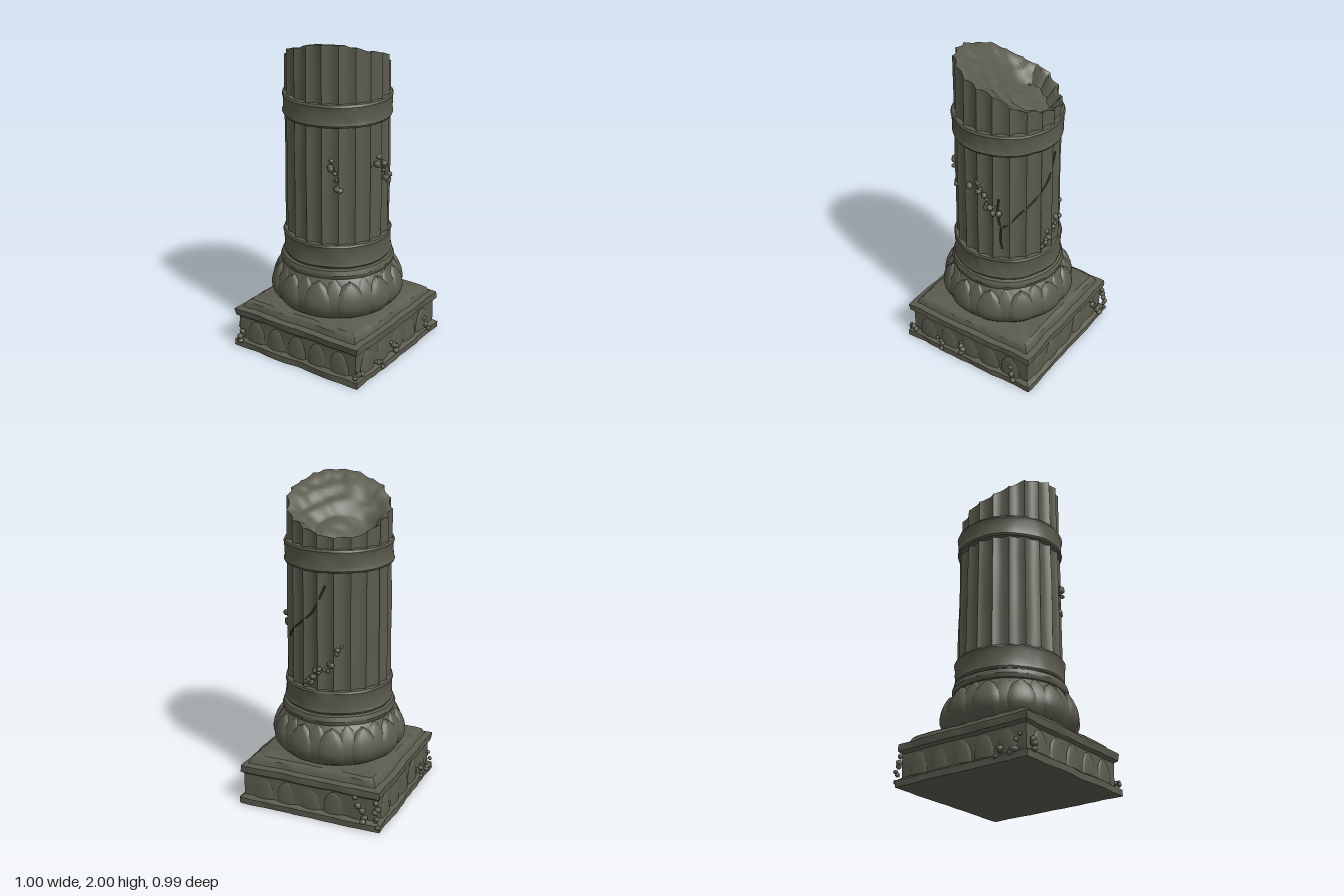
import * as THREE from 'three';
import { mergeVertices, mergeGeometries, toCreasedNormals } from 'three/addons/utils/BufferGeometryUtils.js';

const TAU = Math.PI * 2;
const { lerp, clamp, smoothstep } = THREE.MathUtils;

// smooth repeatable bumps in space, about -1..1
const bumps = (x, y, z, f) =>
  (Math.sin(x * f + 1.3 + 2 * Math.sin(y * f * 0.7)) + Math.sin(y * f * 1.3 + z * f * 0.8 + 0.4) +
   Math.sin(z * f * 1.1 - x * f * 0.6 + 2.1)) / 3;

function seeded(seed) {
  return () => {
    seed = (seed * 16807) % 2147483647;
    return seed / 2147483647;
  };
}

// surface from f(u, v) -> [x, y, z]; u runs to the right, v runs up, seen from outside
function surface(f, nu, nv, crease = 0.6) {
  const pos = [], index = [];
  for (let j = 0; j <= nv; j++)
    for (let i = 0; i <= nu; i++) pos.push(...f(i / nu, j / nv));
  for (let j = 0; j < nv; j++)
    for (let i = 0; i < nu; i++) {
      const a = j * (nu + 1) + i, d = a + nu + 1;
      index.push(a, a + 1, d, a + 1, d + 1, d);
    }
  const g = new THREE.BufferGeometry();
  g.setAttribute('position', new THREE.Float32BufferAttribute(pos, 3));
  g.setIndex(index);
  return toCreasedNormals(mergeVertices(g, 1e-4), crease);
}

// worn solid swept round the axis from [radius, y] points, round or square
function worn(profile, { square = false, wear = 0.008, freq = 17, seg = 96, sub = 2 } = {}) {
  const rows = [];
  profile.forEach(([r, y], i) => {
    const [r2, y2] = profile[i + 1] || [r, y];
    const n = i < profile.length - 1 ? sub : 1;
    for (let k = 0; k < n; k++) rows.push([lerp(r, r2, k / n), lerp(y, y2, k / n)]);
  });
  return surface((u, v) => {
    const [r, y] = rows[Math.round(v * (rows.length - 1))];
    let x, z;
    if (square) {
      const k = Math.min(3, Math.floor(u * 4 + 1e-6)), f = (u * 4 - k) * 2 - 1, a = k * Math.PI / 2;
      x = f * Math.cos(a) + Math.sin(a);
      z = -f * Math.sin(a) + Math.cos(a);
    } else {
      x = Math.sin(u * TAU);
      z = Math.cos(u * TAU);
    }
    const n = bumps(x * r, y, z * r, freq) + 0.5 * bumps(z * r, x * r, y, freq * 2.3);
    const d = r - wear * Math.max(-0.5, n) * Math.min(1, r * 4);
    return [x * d, y, z * d];
  }, seg, rows.length - 1);
}

const LOTUS = [[0.34, 0.30], [0.365, 0.33], [0.385, 0.36], [0.4, 0.41], [0.394, 0.46], [0.375, 0.51], [0.345, 0.56], [0.32, 0.59]];
function lotusRadius(y) {
  const i = clamp(LOTUS.findIndex(p => p[1] >= y), 1, LOTUS.length - 1);
  const [r0, y0] = LOTUS[i - 1], [r1, y1] = LOTUS[i];
  return lerp(r0, r1, (y - y0) / (y1 - y0));
}

// one lotus petal: broad at the foot, pointed at the top
function petal(angle, halfWidth, top, lift) {
  return surface((u, v) => {
    const s = u * 2 - 1;
    const w = v < 0.4 ? lerp(0.85, 1, v / 0.4) : Math.pow(1 - Math.pow((v - 0.4) / 0.6, 2), 0.65);
    const a = angle + s * w * halfWidth, y = lerp(0.325, top, v);
    const r = lotusRadius(y) - 0.004 + lift * (1 - Math.pow(s, 4)) * Math.min(1, 0.5 + v * 2);
    return [Math.sin(a) * r, y, Math.cos(a) * r];
  }, 10, 10, 1);
}

// fluted shaft and the sloping, broken end of it
const FLUTES = 20;
function fluteRadius(a, y) {
  const t = ((a / TAU * FLUTES) % 1 + 1) % 1;
  const groove = Math.pow(Math.sin(Math.PI * t), 0.8);
  return lerp(0.322, 0.314, (y - 0.7) / 1.3) - 0.02 * groove;
}
function breakHeight(x, z) {
  const slope = 1.865 - 0.38 * x + 0.2 * z;
  return Math.min(2, slope + 0.022 * bumps(x, 0.3, z, 19) + 0.008 * bumps(z, x, 0.1, 47));
}
function shaftPoint(a, v) {
  const rim = breakHeight(Math.sin(a) * 0.31, Math.cos(a) * 0.31);
  const y = lerp(0.72, rim, v);
  const r = fluteRadius(a, y) + 0.003 * bumps(Math.sin(a), y, Math.cos(a), 9);
  return [Math.sin(a) * r, y, Math.cos(a) * r];
}
function brokenPoint(a, v) {
  const [ex, ey, ez] = shaftPoint(a, 1), s = 1 - v, x = ex * s, z = ez * s;
  // hollow open towards the low side, with a ledge along its edge
  const d = Math.hypot(x - 0.13, z + 0.08) + 0.03 * bumps(x, 0, z, 16);
  const hollow = 0.055 * (1 - smoothstep(d, 0.17, 0.24)) + 0.04 * (1 - smoothstep(d, 0.25, 0.32));
  const inside = smoothstep(v, 0, 0.25);
  const y = lerp(ey, breakHeight(x, z), Math.min(1, v * 4)) - inside * (hollow + 0.012 * bumps(x, 0.7, z, 24));
  return [x, Math.min(2, y), z];
}

export function createModel() {
  const model = new THREE.Group();
  const stone = new THREE.MeshStandardMaterial({ color: 0x5a5a4e });
  stone.name = 'weathered stone';
  const crevice = new THREE.MeshStandardMaterial({ color: 0x3a3b32 });
  crevice.name = 'dark crevice';
  const add = (name, geometry, material = stone) => {
    const mesh = new THREE.Mesh(geometry, material);
    mesh.name = name;
    model.add(mesh);
    return mesh;
  };

  // square foot
  add('plinth', worn([[0, 0], [0.472, 0], [0.474, 0.04], [0.446, 0.058], [0.442, 0.2], [0.46, 0.215],
    [0.463, 0.258], [0.425, 0.266], [0.412, 0.3], [0.39, 0.315], [0, 0.32]], { square: true, wear: 0.009, seg: 112 }));

  // raised arches along the plinth walls
  const arches = [];
  for (let side = 0; side < 4; side++)
    for (let i = -2; i <= 2; i++) {
      const g = new THREE.SphereGeometry(1, 16, 6, 0, TAU, 0, Math.PI / 2);
      g.scale(0.073, 0.14, 0.018).translate(i * 0.158, 0.052, 0.439).rotateY(side * Math.PI / 2);
      arches.push(g);
    }
  add('plinthArches', mergeGeometries(arches));

  // lotus cushion with two rows of petals
  add('lotusCushion', worn(LOTUS, { wear: 0.004 }));
  const petals = [];
  for (let i = 0; i < 12; i++) {
    const a = (i + 0.5) / 12 * TAU;
    petals.push(petal(a + 0.03, 0.25, 0.56, 0.024));
    petals.push(petal(a + 0.03 + TAU / 24, 0.2, 0.575, 0.012));
  }
  add('lotusPetals', mergeGeometries(petals));

  // rings and bands round the shaft
  add('neckRing', worn([[0.31, 0.565], [0.345, 0.575], [0.352, 0.6], [0.342, 0.628], [0.325, 0.635], [0.32, 0.66]], { wear: 0.006 }));
  const band = (y0, y1, r) => worn([[0.29, y0], [r - 0.006, y0 + 0.002], [r, y0 + 0.014], [r - 0.005, y0 + 0.035],
    [r - 0.005, y1 - 0.035], [r, y1 - 0.014], [r - 0.006, y1 - 0.002], [0.29, y1]], { wear: 0.006, freq: 21 });
  add('lowerBand', band(0.637, 0.79, 0.336));
  add('upperBand', band(1.52, 1.66, 0.332));

  // fluted shaft with its broken end
  add('flutedShaft', surface((u, v) => shaftPoint(u * TAU, v), FLUTES * 8, 24, 0.5));
  add('brokenTop', surface((u, v) => brokenPoint(u * TAU, v), FLUTES * 8, 18, 0.5));

  // cracks running over the shaft, as [angle, height]
  const cracks = [
    [[0.42, 1.22], [0.4, 1.12], [0.47, 1.02], [0.62, 1.04], [0.8, 1.1], [1.0, 1.15], [1.2, 1.2], [1.45, 1.27], [1.6, 1.36], [1.72, 1.44]],
    [[0.47, 1.02], [0.45, 0.93], [0.48, 0.86]],
  ];
  cracks.forEach(path => {
    const pts = path.map(([a, y]) => new THREE.Vector3(Math.sin(a) * 0.307, y, Math.cos(a) * 0.307));
    add('crack', new THREE.TubeGeometry(new THREE.CatmullRomCurve3(pts), 50, 0.006, 5), crevice);
  });

  // knobbly growths: lumps scattered along a path of points
  const random = seeded(77);
  const growth = (name, path, count, spread, size) => {
    const curve = new THREE.CatmullRomCurve3(path.map(p => new THREE.Vector3(...p)));
    const lumps = [];
    for (let i = 0; i < count; i++) {
      const p = curve.getPoint((i + 0.5) / count), s = size * (0.6 + 0.7 * random());
      const jitter = () => (random() - 0.5) * spread;
      const g = new THREE.IcosahedronGeometry(1, 1);
      g.scale(s, s * 0.85, s).rotateZ(random() * 3).translate(p.x + jitter() * 0.6, p.y + jitter(), p.z + jitter() * 0.6);
      lumps.push(toCreasedNormals(g, 0.8));
    }
    add(name, mergeGeometries(lumps));
  };
  const onShaft = path => path.map(([a, y]) => [Math.sin(a) * 0.313, y, Math.cos(a) * 0.313]);
  growth('frontGrowth', onShaft([[-0.25, 1.26], [0, 1.3], [0.14, 1.23], [0.24, 1.17], [0.4, 1.1]]), 16, 0.05, 0.019);
  growth('rightGrowth', onShaft([[-1.12, 1.32], [-1.05, 1.26], [-0.95, 1.19], [-0.9, 1.1]]), 10, 0.05, 0.017);
  growth('leftGrowth', onShaft([[1.3, 0.82], [1.5, 0.88], [1.75, 0.93], [2.05, 1.08]]), 15, 0.05, 0.018);
  const footGrowths = [
    [[-0.47, 0.04, 0.44], [-0.455, 0.1, 0.45], [-0.41, 0.06, 0.465]],
    [[-0.25, 0.09, 0.45], [-0.2, 0.05, 0.465], [-0.19, 0.03, 0.47]],
    [[-0.05, 0.12, 0.45], [-0.03, 0.05, 0.465]],
    [[0.32, 0.12, 0.45], [0.35, 0.04, 0.475]],
    [[0.455, 0.2, -0.28], [0.465, 0.1, -0.36], [0.48, 0.05, -0.38]],
    [[0.46, 0.2, -0.43], [0.47, 0.1, -0.45], [0.475, 0.04, -0.45]],
    [[-0.41, 0.15, -0.46], [-0.39, 0.06, -0.475], [-0.34, 0.03, -0.48]],
    [[-0.28, 0.1, -0.455], [-0.25, 0.04, -0.475]],
    [[-0.465, 0.12, -0.41], [-0.48, 0.04, -0.41]],
  ];
  footGrowths.forEach(path => growth('footGrowth', path, 6, 0.035, 0.017));

  return model;
}
